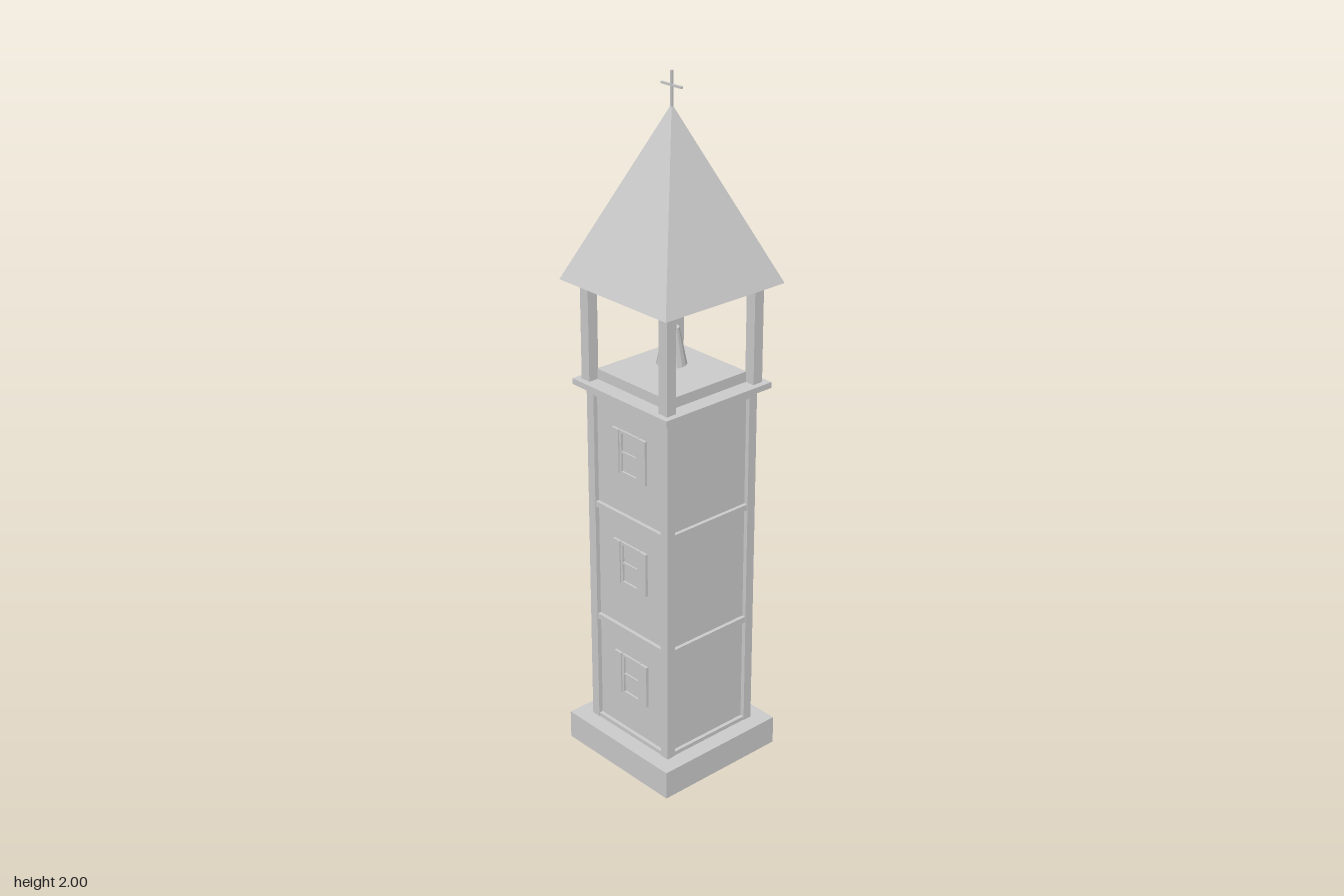
import * as THREE from 'three';

export function createModel() {
  const stone = new THREE.MeshStandardMaterial({ color: 0xcccccc });
  stone.name = 'paleGrey';
  stone.flatShading = true;
  const tower = new THREE.Group();
  tower.name = 'bellTower';

  const add = (name, geometry, x, y, z, parent = tower) => {
    const mesh = new THREE.Mesh(geometry, stone);
    mesh.name = name;
    mesh.position.set(x, y, z);
    parent.add(mesh);
    return mesh;
  };
  // Box given by its width, depth and bottom and top heights
  const slab = (name, w, d, y0, y1, x = 0, z = 0, parent = tower) =>
    add(name, new THREE.BoxGeometry(w, y1 - y0, d), x, (y0 + y1) / 2, z, parent);
  // The same post at all four corners
  const corners = (name, size, offset, y0, y1) => {
    for (const x of [-offset, offset])
      for (const z of [-offset, offset]) slab(name, size, size, y0, y1, x, z);
  };

  // Plinth and shaft with raised corner posts and string courses
  slab('plinth', 0.42, 0.42, 0, 0.085);
  slab('shaft', 0.3, 0.3, 0.085, 1.135);
  corners('cornerPost', 0.028, 0.149, 0.085, 1.135);
  for (const [y0, y1] of [[0.085, 0.097], [0.414, 0.432], [0.773, 0.79], [1.11, 1.135]])
    slab('stringCourse', 0.322, 0.322, y0, y1);

  // Shuttered windows, three on the front and three on the back
  for (const turn of [0, Math.PI]) {
    const side = new THREE.Group();
    side.name = turn ? 'backWindows' : 'frontWindows';
    side.rotation.y = turn;
    tower.add(side);
    for (const y of [0.21, 0.57, 0.91]) {
      for (const x of [-0.034, 0.034]) slab('windowJamb', 0.008, 0.006, y, y + 0.13, x, 0.153, side);
      for (const h of [0, 0.122]) slab('windowRail', 0.076, 0.006, y + h, y + h + 0.008, 0, 0.153, side);
      if (!turn) slab('windowBar', 0.06, 0.005, y + 0.062, y + 0.068, 0, 0.1525, side);
      for (const x of [-0.054, 0.054]) slab('shutter', 0.028, 0.008, y, y + 0.13, x, 0.154, side);
    }
  }

  // Open belfry
  slab('belfryCornice', 0.38, 0.38, 1.135, 1.152);
  slab('belfryFloor', 0.285, 0.285, 1.152, 1.182);
  corners('belfryPost', 0.032, 0.156, 1.152, 1.43);
  slab('roofPlate', 0.375, 0.375, 1.424, 1.436);

  // Bell
  add('bell', new THREE.CylinderGeometry(0.021, 0.042, 0.105, 16), 0, 1.255, 0);

  // Pyramid roof
  const roof = new THREE.ConeGeometry(0.21 * Math.SQRT2, 0.478, 4);
  roof.rotateY(Math.PI / 4);
  add('roof', roof, 0, 1.675, 0);

  // Roof cross
  slab('crossUpright', 0.006, 0.006, 1.895, 2);
  slab('crossArm', 0.076, 0.006, 1.959, 1.965);

  return tower;
}
